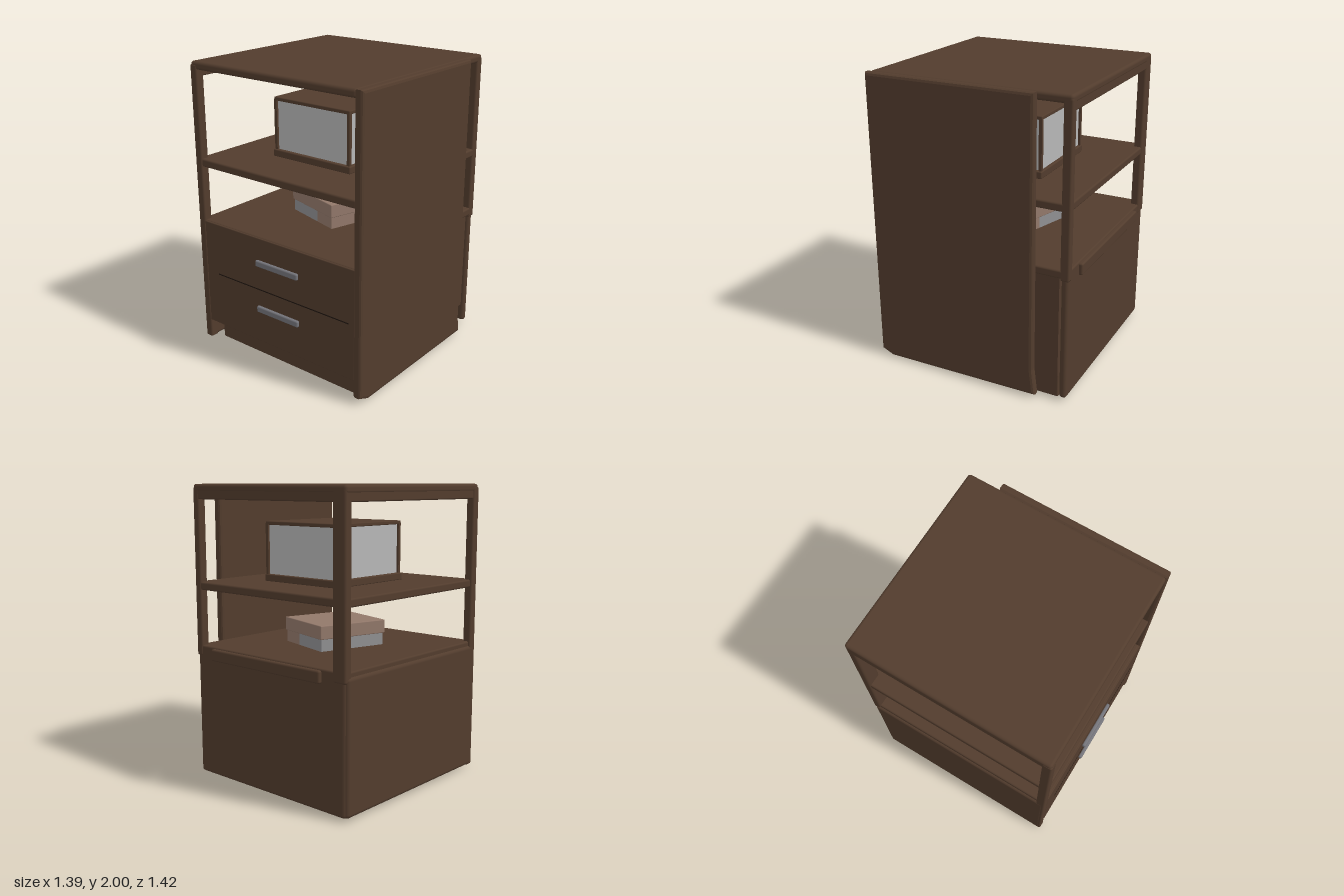
import * as THREE from 'three';
import { RoundedBoxGeometry } from 'three/addons/geometries/RoundedBoxGeometry.js';

const material = (name, color) => {
  const m = new THREE.MeshStandardMaterial({ color });
  m.name = name;
  return m;
};

export function createModel() {
  const wood = material('dark brown wood', 0x523c2d);
  const seam = material('seam shadow brown', 0x1e150f);
  const metal = material('handle grey', 0x74747a);
  const pale = material('pale grey panel', 0xb6b6b6);
  const tan = material('tan book cover', 0x92786a);
  const grey = material('grey book cover', 0x909092);
  const root = new THREE.Group();
  root.name = 'bedsideCabinet';

  // Box from its extents; r > 0 rounds the edges
  const box = (name, mat, [x0, x1], [y0, y1], [z0, z1], r = 0, parent = root) => {
    const s = [x1 - x0, y1 - y0, z1 - z0];
    const geo = r ? new RoundedBoxGeometry(...s, 2, r) : new THREE.BoxGeometry(...s);
    const mesh = new THREE.Mesh(geo, mat);
    mesh.name = name;
    mesh.position.set((x0 + x1) / 2, (y0 + y1) / 2, (z0 + z1) / 2);
    parent.add(mesh);
    return mesh;
  };

  // Full-height side panel, chamfered at its lower corners
  const outline = new THREE.Shape([
    [0.67, 0.06], [0.6, 0.03], [-0.47, 0.04], [-0.45, 0.2], [-0.45, 1.98], [0.67, 1.98],
  ].map(([z, y]) => new THREE.Vector2(z, y)));
  const sideGeo = new THREE.ExtrudeGeometry(outline, {
    depth: 0.03, bevelEnabled: true, bevelSize: 0.02, bevelThickness: 0.015, bevelSegments: 2,
  });
  sideGeo.rotateY(-Math.PI / 2).translate(0.68, 0, 0);
  const side = new THREE.Mesh(sideGeo, wood);
  side.name = 'tallSidePanel';
  root.add(side);

  // Top with the deeper rails under its open edges
  box('top', wood, [-0.695, 0.645], [1.945, 2], [-0.69, 0.685], 0.02);
  box('backTopRail', wood, [-0.69, 0.64], [1.9, 1.97], [-0.688, -0.63], 0.01);
  box('sideTopRail', wood, [-0.692, -0.64], [1.9, 1.97], [-0.685, 0.68], 0.01);

  // Corner posts
  box('frontPost', wood, [-0.698, -0.64], [0.02, 1.98], [0.625, 0.688], 0.012);
  box('backPost', wood, [-0.692, -0.59], [0.85, 1.98], [-0.69, -0.63], 0.015);
  box('slotPost', wood, [0.59, 0.645], [0.85, 1.98], [-0.69, -0.63], 0.012);

  // Open shelf and the deck over the drawers
  box('shelf', wood, [-0.685, 0.645], [1.298, 1.352], [-0.685, 0.68], 0.012);
  box('deck', wood, [-0.685, 0.645], [0.865, 0.92], [-0.685, 0.68], 0.012);

  // Closed lower cabinet
  box('drawerBody', wood, [-0.64, 0.625], [0.16, 0.9], [-0.62, 0.68]);
  box('drawerFronts', wood, [-0.642, 0.645], [0.16, 0.915], [0.66, 0.687], 0.006);
  box('lowSidePanel', wood, [-0.7, -0.64], [0.02, 0.89], [-0.675, 0.685], 0.025);
  box('backPanel', wood, [-0.685, 0.64], [0.02, 0.9], [-0.685, -0.635], 0.022);
  box('backLip', wood, [-0.5, 0.48], [0.83, 0.91], [-0.71, -0.67], 0.012);
  box('plinth', wood, [-0.61, 0.61], [0, 0.17], [-0.62, 0.6], 0.01);
  box('drawerSeam', seam, [-0.53, 0.6], [0.544, 0.551], [0.684, 0.689]);

  // Drawer handles
  for (const y of [0.742, 0.41]) {
    box('drawerHandle', metal, [-0.16, 0.2], [y - 0.022, y + 0.022], [0.685, 0.71], 0.01);
  }

  // Framed lamp box standing on the shelf
  const lamp = new THREE.Group();
  lamp.name = 'lampBox';
  root.add(lamp);
  box('lampBase', wood, [-0.325, 0.325], [1.35, 1.4], [-0.35, 0.33], 0.008, lamp);
  box('lampPanels', pale, [-0.3, 0.3], [1.39, 1.735], [-0.33, 0.305], 0, lamp);
  box('lampLid', wood, [-0.315, 0.315], [1.73, 1.755], [-0.345, 0.32], 0.006, lamp);
  for (const x of [-0.304, 0.304]) for (const z of [-0.334, 0.309]) {
    box('lampPost', wood, [x - 0.011, x + 0.011], [1.39, 1.74], [z - 0.011, z + 0.011], 0, lamp);
  }

  // Two stacked books turned on the deck
  const books = new THREE.Group();
  books.name = 'books';
  books.position.set(-0.015, 0.92, -0.02);
  books.rotation.y = -0.28;
  root.add(books);
  box('lowerBook', grey, [-0.225, 0.06], [0, 0.08], [-0.245, 0.245], 0, books);
  box('lowerBookSpine', tan, [0.06, 0.225], [0, 0.08], [-0.245, 0.245], 0, books);
  box('upperBook', tan, [-0.235, 0.235], [0.08, 0.172], [-0.255, 0.255], 0.006, books);

  return root;
}
